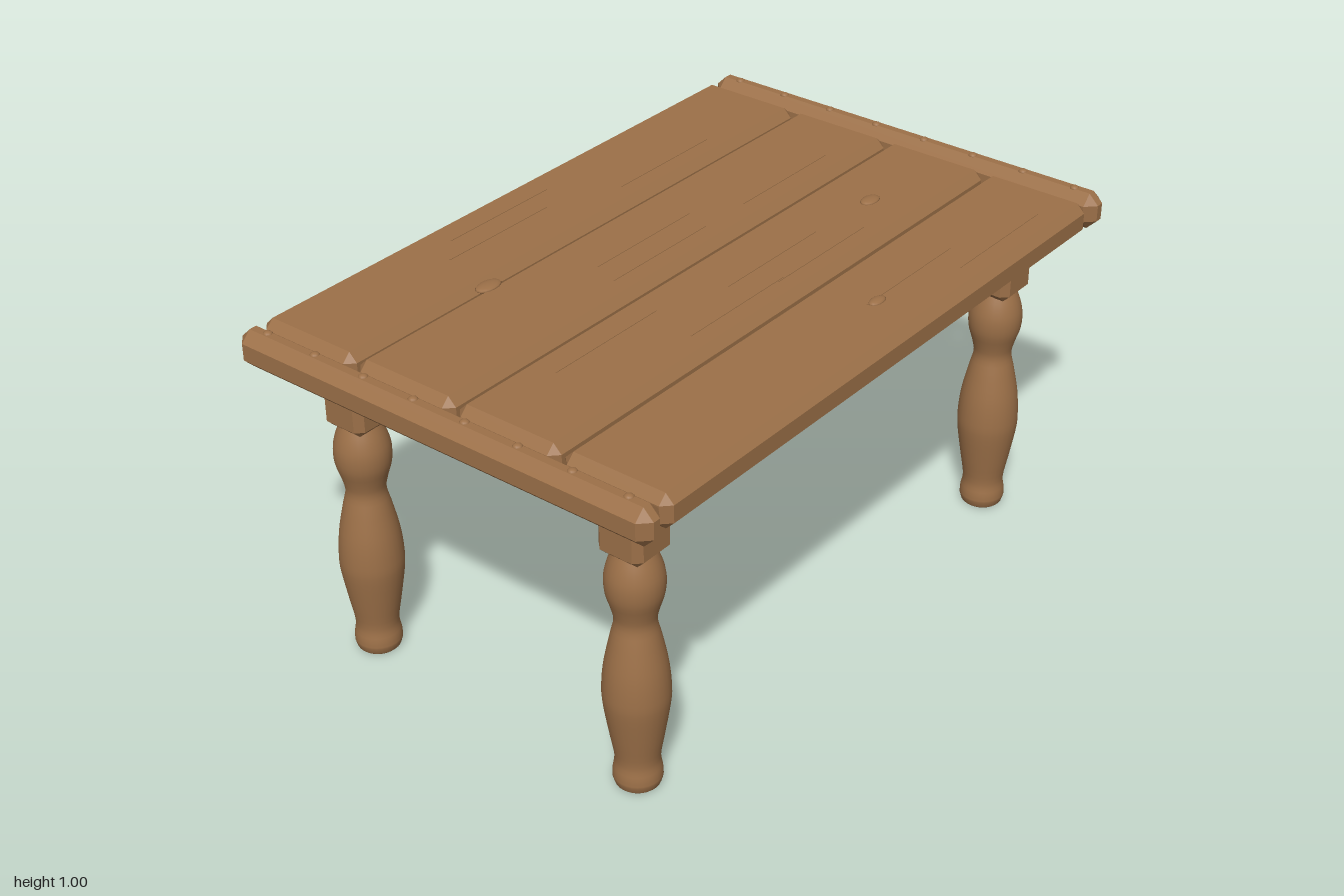
import * as THREE from 'three';
import { ConvexGeometry } from 'three/addons/geometries/ConvexGeometry.js';

// Box centred on the origin with all edges and corners cut off by c
function chamferBox(w, h, d, c) {
  const pts = [];
  for (const sx of [-1, 1]) for (const sy of [-1, 1]) for (const sz of [-1, 1]) {
    const x = w / 2, y = h / 2, z = d / 2;
    pts.push(
      new THREE.Vector3(sx * x, sy * (y - c), sz * (z - c)),
      new THREE.Vector3(sx * (x - c), sy * y, sz * (z - c)),
      new THREE.Vector3(sx * (x - c), sy * (y - c), sz * z)
    );
  }
  return new ConvexGeometry(pts);
}

export function createModel() {
  const table = new THREE.Group();
  table.name = 'table';
  const wood = new THREE.MeshStandardMaterial({ color: 0x9c7048 });
  wood.name = 'brown wood';

  const add = (name, geometry, x, y, z, parent = table) => {
    const mesh = new THREE.Mesh(geometry, wood);
    mesh.name = name;
    mesh.position.set(x, y, z);
    parent.add(mesh);
    return mesh;
  };

  // Four long planks of the top
  const plank = chamferBox(1.826, 0.096, 0.316, 0.024);
  for (const z of [-0.495, -0.167, 0.161, 0.489]) add('plank', plank, -0.002, 0.937, z);

  // Cross boards at both ends, each with a row of nail heads
  const endBoard = chamferBox(0.08, 0.105, 1.308, 0.029);
  const nail = new THREE.SphereGeometry(0.013, 12, 5, 0, Math.PI * 2, 0, Math.PI / 2);
  nail.scale(1, 0.65, 1);
  for (const side of [-1, 1]) {
    add('endBoard', endBoard, side * 0.96, 0.9375, 0);
    for (let i = 0; i < 8; i++) add('nail', nail, side * 0.957, 0.988, -0.575 + i * 0.164);
  }

  // Solid block under the planks
  add('apron', chamferBox(1.59, 0.14, 0.91, 0.022), 0, 0.818, 0);

  // Turned legs with a square head
  const profile = new THREE.SplineCurve([
    [0.064, 0.022], [0.063, 0.045], [0.058, 0.085], [0.07, 0.16], [0.084, 0.25], [0.086, 0.3],
    [0.08, 0.37], [0.064, 0.45], [0.053, 0.5], [0.06, 0.54], [0.073, 0.585], [0.075, 0.63],
    [0.066, 0.67], [0.052, 0.705],
  ].map(([r, y]) => new THREE.Vector2(r, y))).getPoints(40);
  const leg = new THREE.LatheGeometry(
    [new THREE.Vector2(0, 0), new THREE.Vector2(0.054, 0), new THREE.Vector2(0.059, 0.005), ...profile], 28);
  const head = chamferBox(0.136, 0.165, 0.136, 0.02);
  for (const x of [-0.795, 0.795]) for (const z of [-0.45, 0.45]) {
    const group = new THREE.Group();
    group.name = 'leg';
    group.position.set(x, 0, z);
    table.add(group);
    add('turnedPost', leg, 0, 0, 0, group);
    add('legHead', head, 0, 0.7815, 0, group);
  }

  // Carved heart on the front of the apron
  const heart = new THREE.Shape();
  heart.moveTo(0, -0.045);
  heart.bezierCurveTo(-0.025, -0.025, -0.053, -0.005, -0.053, 0.02);
  heart.bezierCurveTo(-0.053, 0.045, -0.01, 0.052, 0, 0.024);
  heart.bezierCurveTo(0.01, 0.052, 0.053, 0.045, 0.053, 0.02);
  heart.bezierCurveTo(0.053, -0.005, 0.025, -0.025, 0, -0.045);
  add('heart', new THREE.ExtrudeGeometry(heart, {
    depth: 0.008, bevelThickness: 0.004, bevelSize: 0.003, bevelSegments: 2, curveSegments: 10,
  }), 0, 0.818, 0.453);

  // Oval knots in the planks
  const knot = new THREE.SphereGeometry(1, 16, 8);
  for (const [x, z, rx, rz] of [
    [-0.44, -0.318, 0.042, 0.025], [0.555, 0.172, 0.035, 0.022], [0.108, 0.502, 0.031, 0.017],
  ]) add('knot', knot, x, 0.985, z).scale.set(rx, 0.008, rz);

  // Hairline grain marks along the planks
  const grain = new THREE.BoxGeometry(0.38, 0.003, 0.003);
  for (const [x, z] of [
    [-0.13, -0.56], [-0.21, -0.49], [0.39, -0.41], [0, -0.165], [-0.03, -0.085], [0.515, -0.085],
    [-0.465, 0.097], [0.125, 0.163], [-0.13, 0.243], [0.225, 0.248], [0.267, 0.493], [0.575, 0.572],
  ]) add('grain', grain, x, 0.985, z);

  return table;
}
